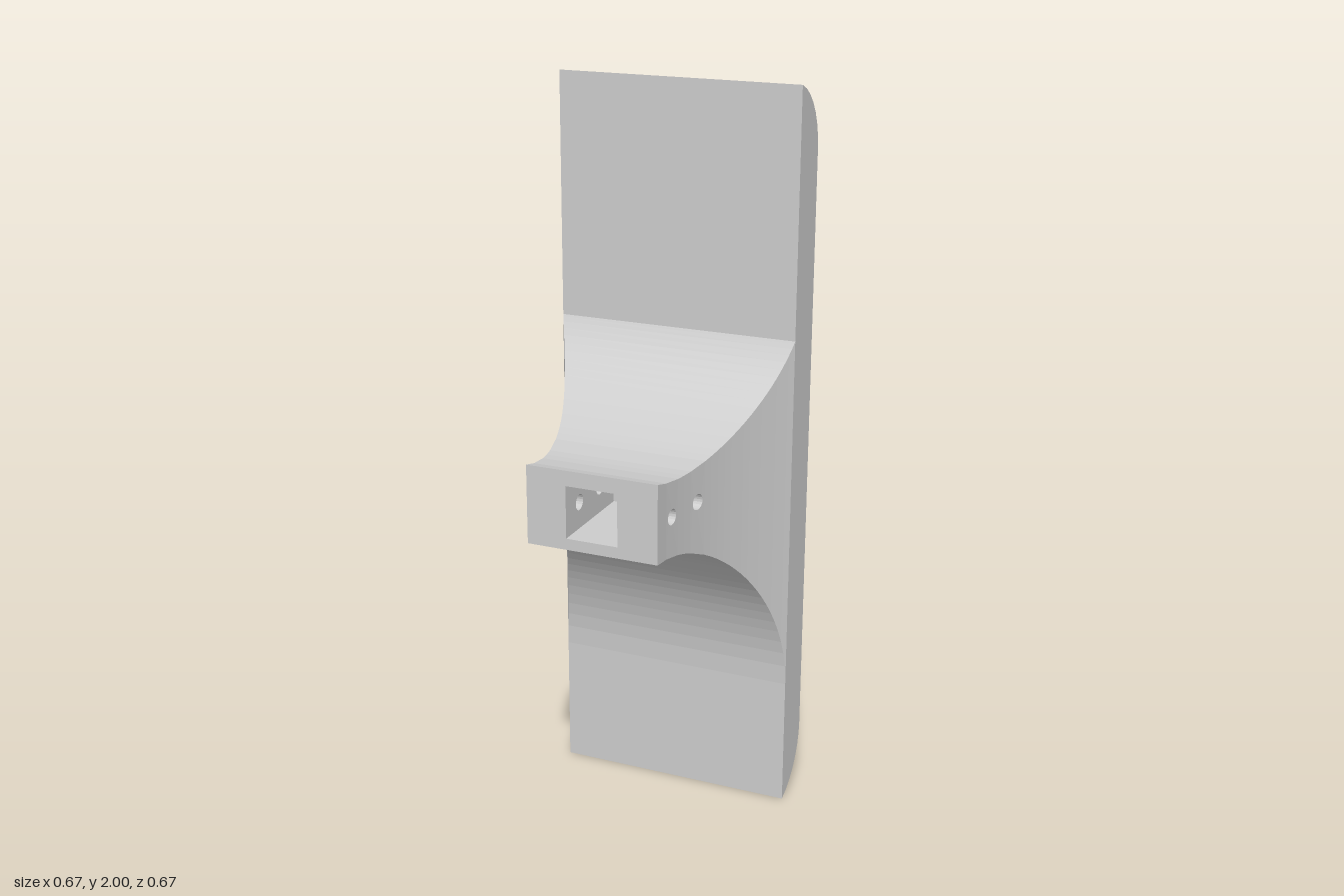
import * as THREE from 'three';
import { mergeGeometries } from 'three/addons/utils/BufferGeometryUtils.js';

const FRONT = 0.333, JOINT = -0.2, HALF = 0.333;   // z of the stem tip, z of the plate face, plate half width
const SOCKET = 0.07, SOCKET_END = 0.05;            // half size and rear z of the square socket
const HOLES = [0.135, 0.255], HOLE_R = 0.021;      // z of the cross holes and their radius

const V2 = (x, y) => new THREE.Vector2(x, y);
const V3 = (x, y, z) => new THREE.Vector3(x, y, z);

// Stem outline along z: half width, upper edge and lower edge
const halfWidth = z => {
  const t = (FRONT - z) / (FRONT - JOINT);
  return 0.178 + 0.01 * t + 0.145 * t * t;
};
const topY = z => 1.531 - Math.sqrt(0.441 ** 2 - (z - 0.2) ** 2);
const bottomY = z => 0.36 + Math.sqrt(Math.max(0, 0.54 ** 2 - (0.34 - z) ** 2));

// Flat-faced ribbon between two point lists
function ribbon(a, b) {
  const pos = [];
  for (let i = 0; i < a.length - 1; i++) {
    for (const p of [a[i], b[i], a[i + 1], b[i], b[i + 1], a[i + 1]]) pos.push(p.x, p.y, p.z);
  }
  const g = new THREE.BufferGeometry();
  g.setAttribute('position', new THREE.Float32BufferAttribute(pos, 3));
  g.computeVertexNormals();
  return g;
}

// Shape with holes whose points are placed in space by a rule
function panel(outline, holes, place, flip = false) {
  const shape = new THREE.Shape(outline);
  shape.holes = holes.map(h => new THREE.Path(h));
  const g = new THREE.ShapeGeometry(shape).toNonIndexed();
  g.deleteAttribute('uv');
  const src = g.attributes.position, pos = [];
  for (let i = 0; i < src.count; i += 3) {
    for (const k of flip ? [0, 2, 1] : [0, 1, 2]) {
      pos.push(...place(src.getX(i + k), src.getY(i + k)).toArray());
    }
  }
  g.setAttribute('position', new THREE.Float32BufferAttribute(pos, 3));
  g.computeVertexNormals();
  return g;
}

const rect = (u0, v0, u1, v1) => [V2(u0, v0), V2(u1, v0), V2(u1, v1), V2(u0, v1)];

function circle(z, n = 20) {
  return Array.from({ length: n }, (_, i) => {
    const a = i / n * Math.PI * 2;
    return V2(z + HOLE_R * Math.cos(a), 1 + HOLE_R * Math.sin(a));
  });
}

// Stations along z: dense at the steep lower fillet, one bay around each hole
function stations() {
  const list = [];
  for (let i = 0; i <= 18; i++) list.push(JOINT + 0.305 * (i / 18) ** 1.6);
  return [...list, 0.165, 0.195, 0.225, 0.285, FRONT];
}

function createPlate() {
  // Half of the rounded back, mirrored about mid height
  const r = 0.188, start = Math.atan2(0.18, -0.055), arc = [];
  for (let i = 0; i <= 7; i++) {
    const a = start + (Math.PI - start) * i / 7;
    arc.push(V2(-HALF + r + r * Math.cos(a), 1.82 + r * Math.sin(a)));
  }
  const lower = arc.map(p => V2(p.x, 2 - p.y)).reverse();
  const g = new THREE.ExtrudeGeometry(new THREE.Shape([...arc, ...lower]), { depth: 2 * HALF, bevelEnabled: false });
  g.translate(0, 0, -HALF);
  g.rotateY(-Math.PI / 2);    // profile x becomes z
  return g;
}

function createStem() {
  const zs = stations(), parts = [];
  // Upper and lower curved faces
  const edge = (s, f) => zs.map(z => V3(s * halfWidth(z), f(z), z));
  parts.push(ribbon(edge(1, topY), edge(-1, topY)), ribbon(edge(-1, bottomY), edge(1, bottomY)));
  // Flared sides, pierced where a hole falls inside a bay
  for (const s of [1, -1]) {
    for (let i = 0; i < zs.length - 1; i++) {
      const a = zs[i], b = zs[i + 1];
      const outline = [V2(a, bottomY(a)), V2(b, bottomY(b)), V2(b, topY(b)), V2(a, topY(a))];
      const holes = HOLES.filter(z => z > a && z < b).map(z => circle(z));
      parts.push(panel(outline, holes, (z, y) => V3(s * halfWidth(z), y, z), s > 0));
    }
  }
  // Front face around the socket opening
  const w = halfWidth(FRONT);
  parts.push(panel(rect(-w, bottomY(FRONT), w, topY(FRONT)),
    [rect(-SOCKET, 1 - SOCKET, SOCKET, 1 + SOCKET)], (x, y) => V3(x, y, FRONT)));
  return mergeGeometries(parts);
}

function createSocket() {
  const parts = [];
  for (const s of [1, -1]) {
    // Side wall with holes, then floor or ceiling
    parts.push(panel(rect(SOCKET_END, 1 - SOCKET, FRONT, 1 + SOCKET), HOLES.map(z => circle(z)),
      (z, y) => V3(s * SOCKET, y, z), s < 0));
    const line = x => [SOCKET_END, FRONT].map(z => V3(x, 1 + s * SOCKET, z));
    parts.push(ribbon(line(-s * SOCKET), line(s * SOCKET)));
  }
  parts.push(panel(rect(-SOCKET, 1 - SOCKET, SOCKET, 1 + SOCKET), [], (x, y) => V3(x, y, SOCKET_END)));
  return mergeGeometries(parts);
}

// Bore from the flared side to the socket wall
function createBore(z, s) {
  const ring = circle(z);
  ring.push(ring[0]);
  const inner = ring.map(p => V3(s * SOCKET, p.y, p.x));
  const outer = ring.map(p => V3(s * halfWidth(p.x), p.y, p.x));
  return ribbon(outer, inner);
}

export function createModel() {
  const group = new THREE.Group();
  const solid = new THREE.MeshStandardMaterial({ color: 0xcccccc, flatShading: true });
  const open = new THREE.MeshStandardMaterial({ color: 0xcccccc, flatShading: true, side: THREE.DoubleSide });
  const add = (name, geometry, material) => {
    const mesh = new THREE.Mesh(geometry, material);
    mesh.name = name;
    group.add(mesh);
  };
  add('backPlate', createPlate(), solid);
  add('flaredStem', createStem(), open);
  add('squareSocket', createSocket(), open);
  for (const s of [1, -1]) {
    HOLES.forEach((z, i) => add(`${s > 0 ? 'left' : 'right'}ScrewHole${i + 1}`, createBore(z, s), open));
  }
  return group;
}
